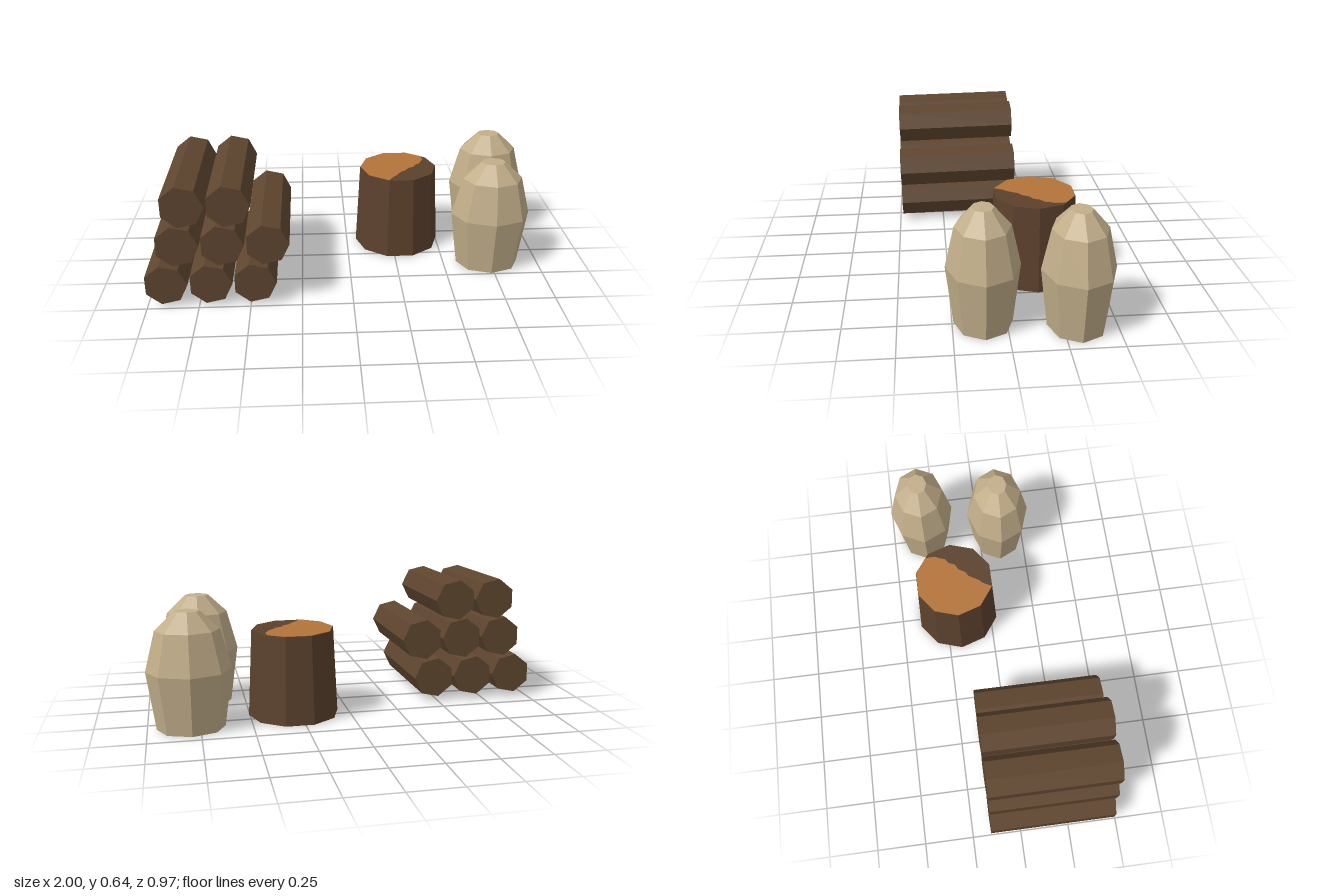
import * as THREE from 'three';

const mat = (name, color) => {
  const m = new THREE.MeshStandardMaterial({ color, flatShading: true });
  m.name = name;
  return m;
};

export function createModel() {
  const group = new THREE.Group();
  const logBrown = mat('log brown', 0x5e452f);
  const stumpBrown = mat('stump brown', 0x5c412d);
  const cutWood = mat('cut wood orange', 0xb3743a);
  const sackTan = mat('sack tan', 0xc2ae8a);

  const add = (parent, name, geometry, material, x, y, z) => {
    const mesh = new THREE.Mesh(geometry, material);
    mesh.name = name;
    mesh.position.set(x, y, z);
    parent.add(mesh);
    return mesh;
  };

  // Stack of seven-sided logs, slightly raised at the back
  const logPile = new THREE.Group();
  logPile.name = 'logPile';
  group.add(logPile);
  const logGeo = new THREE.CylinderGeometry(0.106, 0.106, 0.64, 7, 1, false, Math.PI / 2);
  const rows = [
    { y: 0.124, xs: [-0.905, -0.69, -0.477] },
    { y: 0.331, xs: [-0.837, -0.624, -0.41] },
    { y: 0.533, xs: [-0.798, -0.585] },
  ];
  for (const { y, xs } of rows) {
    for (const x of xs) {
      add(logPile, 'log', logGeo, logBrown, x, y, 0.165).rotation.x = Math.PI / 2 + 0.018;
    }
  }

  // Tapered ten-sided chopping stump
  const stump = new THREE.Group();
  stump.name = 'stump';
  stump.position.set(0.278, 0, -0.183);
  group.add(stump);
  const stumpHeight = 0.437;
  add(stump, 'stumpBody',
    new THREE.CylinderGeometry(0.205, 0.227, stumpHeight, 10, 1, false, Math.PI / 2),
    stumpBrown, 0, stumpHeight / 2, 0);

  // Bare wood patch on the stump top: part of the decagon plus a ragged edge
  const outline = [];
  for (let k = 3; k <= 8; k++) {
    const a = k * Math.PI / 5;
    outline.push(new THREE.Vector2(0.203 * Math.cos(a), 0.203 * Math.sin(a)));
  }
  const raggedEdge = [
    [0.143, -0.137], [0.145, -0.085], [0.132, -0.06], [0.125, -0.035], [0.098, -0.015],
    [0.085, 0.015], [0.055, 0.03], [0.035, 0.065], [0.01, 0.08], [-0.02, 0.13], [-0.04, 0.15],
  ];
  for (const [x, z] of raggedEdge) outline.push(new THREE.Vector2(x, z));
  const patchGeo = new THREE.ExtrudeGeometry(new THREE.Shape(outline), { depth: 0.004, bevelEnabled: false });
  patchGeo.rotateX(Math.PI / 2);
  add(stump, 'cutWoodPatch', patchGeo, cutWood, 0, stumpHeight + 0.002, 0);

  // Two eight-sided sacks, narrower front to back
  const profile = [[0, 0], [0.163, 0], [0.203, 0.287], [0.152, 0.482], [0.06, 0.571], [0, 0.571]]
    .map(([r, y]) => new THREE.Vector2(r, y));
  const sackGeo = new THREE.LatheGeometry(profile, 8);
  sackGeo.scale(1, 1, 0.84);
  add(group, 'frontSack', sackGeo, sackTan, 0.734, 0, 0.106);
  add(group, 'backSack', sackGeo, sackTan, 0.793, 0, -0.316);

  return group;
}
